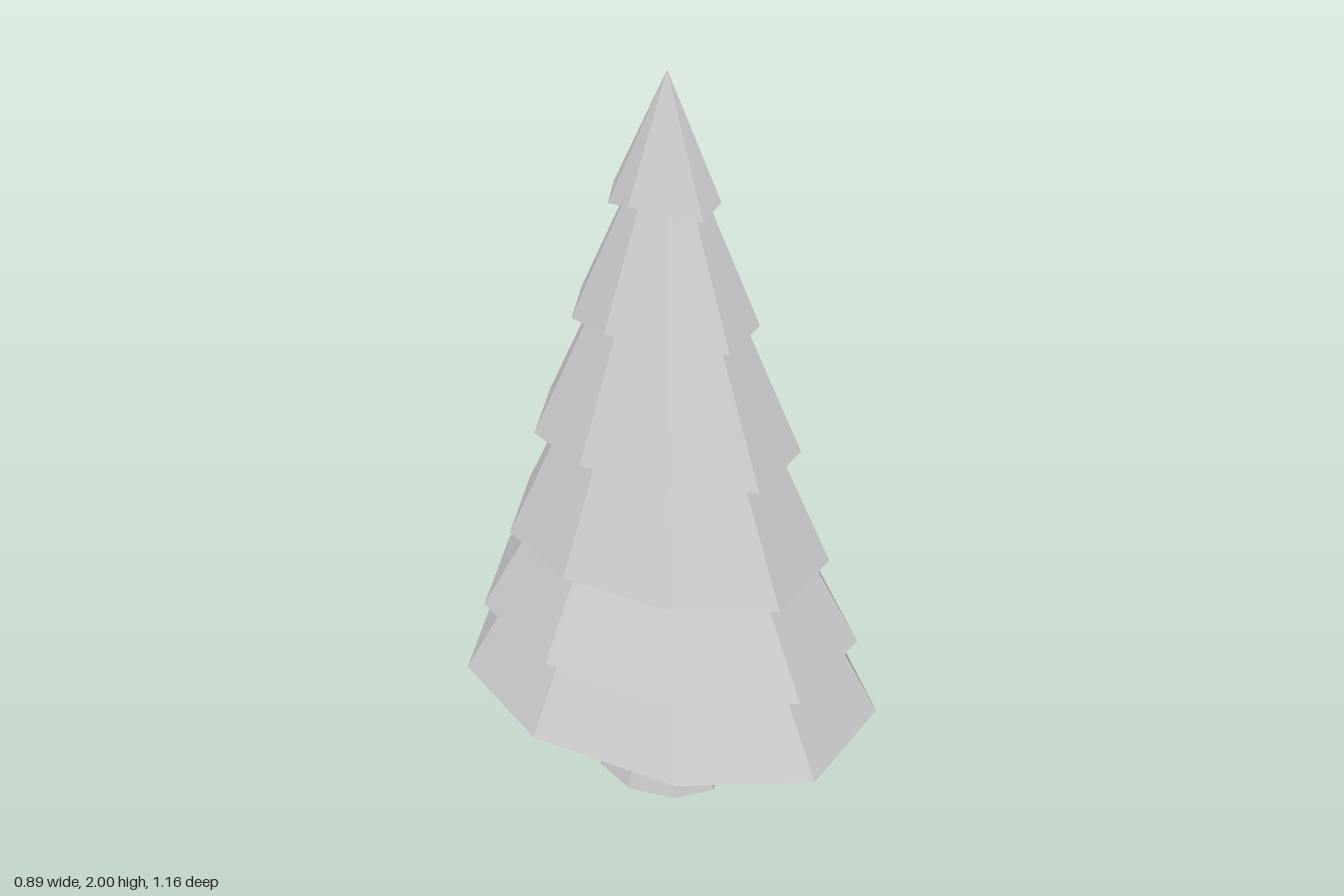
import * as THREE from 'three';

const SIDES = 9;

// Faceted lathe, stretched to an oval; each corner can be shifted by a rule
function facetedLathe(name, profile, phiStart, shift) {
  const points = profile.map(([r, y]) => new THREE.Vector2(r, y));
  const geometry = new THREE.LatheGeometry(points, SIDES, phiStart);
  const p = geometry.attributes.position;
  for (let i = 0; i < p.count; i++) {
    const column = Math.floor(i / points.length) % SIDES;
    const v = new THREE.Vector3().fromBufferAttribute(p, i);
    shift(v, column, i % points.length);
    p.setXYZ(i, v.x, v.y, v.z);
  }
  const flat = geometry.toNonIndexed();
  flat.computeVertexNormals();
  const material = new THREE.MeshStandardMaterial({ color: 0xcccccc, flatShading: true });
  const mesh = new THREE.Mesh(flat, material);
  mesh.name = name;
  return mesh;
}

// Rim height, x radius, z radius, z centre and tip height of each tier
const TIERS = [
  [0.335, 0.453, 0.597, 0.016, 1.33],
  [0.545, 0.404, 0.534, 0.014, 1.42],
  [0.775, 0.338, 0.448, 0.013, 1.67],
  [1.075, 0.274, 0.363, 0.01, 1.82],
  [1.4, 0.188, 0.248, 0.007, 1.92],
  [1.7, 0.109, 0.145, 0.006, 2.0],
];

export function createModel() {
  const group = new THREE.Group();
  group.name = 'firTree';

  // Trunk: flared foot, narrow waist, widening into the branches
  const trunkProfile = [[0, 0], [1, 0], [0.73, 0.23], [0.86, 0.34], [0.92, 0.42], [0, 0.42]];
  group.add(facetedLathe('trunk', trunkProfile, -Math.PI / 2, (v) => {
    v.x *= 0.153;
    v.z *= 0.193;
  }));

  // Branch tiers: hollow-bottomed cones whose every third rim corner droops
  TIERS.forEach(([y, rx, rz, cz, tip], t) => {
    const lift = 0.09 * (tip - y);
    const profile = [[0, y + lift], [0.87, y + lift], [1, y], [0, tip]];
    group.add(facetedLathe(`branchTier${t + 1}`, profile, Math.PI, (v, column, ring) => {
      const isTip = ring === 3;
      if ((ring === 1 || ring === 2) && column % 3 === 1) v.y -= 0.025;
      v.x = v.x * rx + (isTip ? 0.007 : 0);
      v.z = v.z * rz + (isTip ? 0.01 : cz);
    }));
  });

  return group;
}
